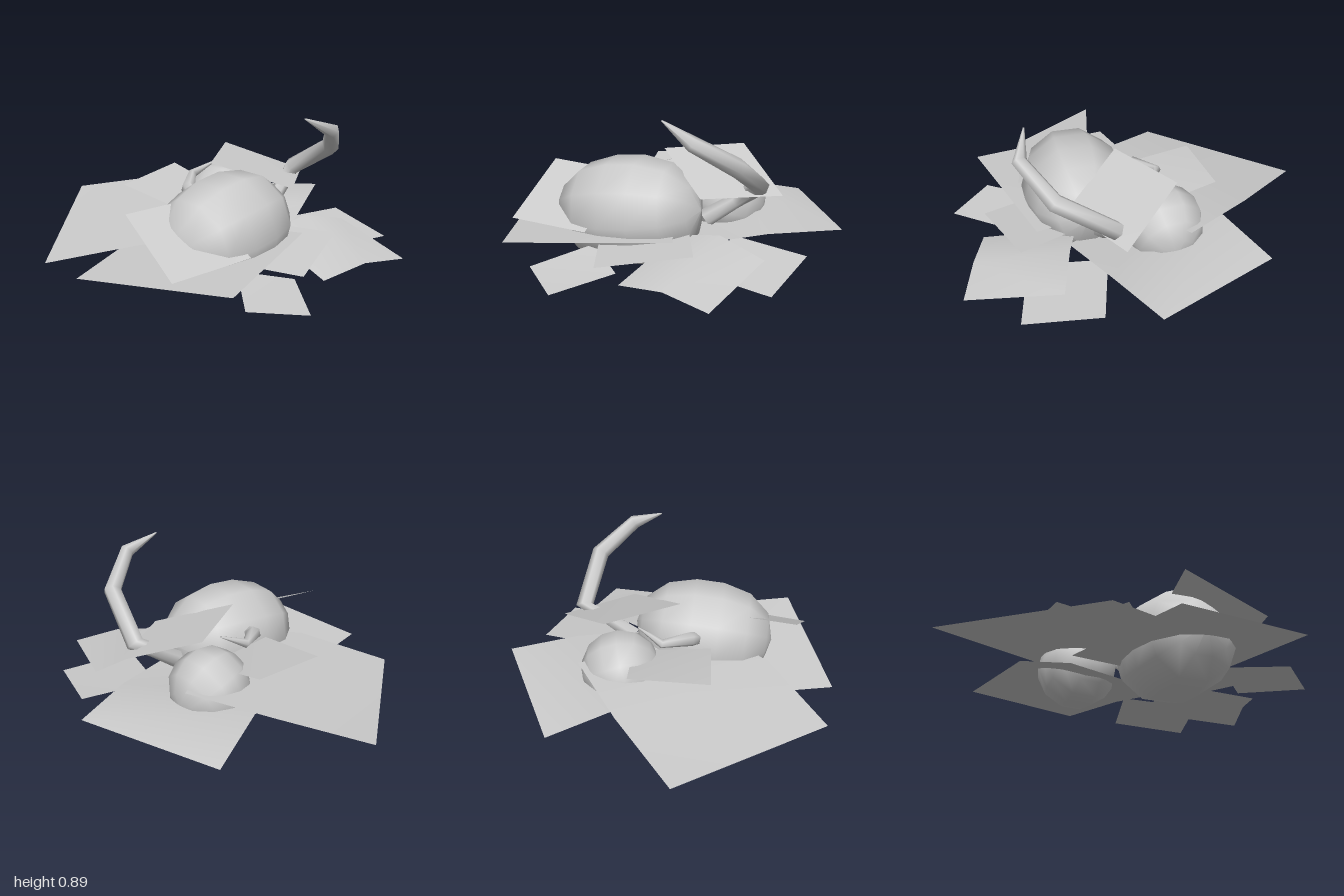
import * as THREE from 'three';

const grey = () => new THREE.MeshStandardMaterial({ color: 0xcccccc, side: THREE.DoubleSide });

// Low-poly smooth gourd body: a slightly boxy oval turned around local x
function gourd(name, center, radii, turn, tilt, fullness) {
  const profile = [-1, -0.9, -0.6, -0.2, 0.2, 0.6, 0.9, 1].map(t =>
    new THREE.Vector2(Math.pow(1 - Math.pow(Math.abs(t), fullness), 1 / fullness), t));
  const geo = new THREE.LatheGeometry(profile, 10);
  geo.rotateZ(-Math.PI / 2);
  geo.scale(...radii);
  const mesh = new THREE.Mesh(geo, grey());
  mesh.name = name;
  mesh.position.set(...center);
  mesh.rotation.set(0, turn, tilt);
  return mesh;
}

// Leaf card: a strip through successive pairs of points (two pairs = flat, three = creased)
function leaf(name, pairs) {
  const geo = new THREE.BufferGeometry();
  const index = [];
  for (let i = 0; i < pairs.length - 1; i++) {
    const a = i * 2;
    index.push(a, a + 1, a + 2, a + 1, a + 3, a + 2);
  }
  geo.setAttribute('position', new THREE.Float32BufferAttribute(pairs.flat(2), 3));
  geo.setIndex(index);
  geo.computeVertexNormals();
  // Make the lit side face upward
  if (geo.attributes.normal.getY(0) < 0) {
    geo.setIndex(index.reverse());
    geo.computeVertexNormals();
  }
  const mesh = new THREE.Mesh(geo, grey());
  mesh.name = name;
  return mesh;
}

// Tapered vine: hexagonal rings at each path point
function vine(name, path, radii) {
  const pts = path.map(p => new THREE.Vector3(...p));
  const sides = 6, pos = [], index = [];
  const normal = new THREE.Vector3(0, 1, 0);
  pts.forEach((p, i) => {
    const before = pts[Math.max(i - 1, 0)], after = pts[Math.min(i + 1, pts.length - 1)];
    const t = after.clone().sub(before).normalize();
    normal.addScaledVector(t, -normal.dot(t)).normalize();
    const side = t.clone().cross(normal);
    for (let s = 0; s < sides; s++) {
      const a = (s / sides) * Math.PI * 2;
      const v = p.clone()
        .addScaledVector(normal, Math.cos(a) * radii[i])
        .addScaledVector(side, Math.sin(a) * radii[i]);
      pos.push(v.x, v.y, v.z);
      if (i > 0) {
        const n = (s + 1) % sides, k = (i - 1) * sides, m = i * sides;
        index.push(k + s, k + n, m + s, k + n, m + n, m + s);
      }
    }
  });
  const geo = new THREE.BufferGeometry();
  geo.setAttribute('position', new THREE.Float32BufferAttribute(pos, 3));
  geo.setIndex(index);
  geo.computeVertexNormals();
  const mesh = new THREE.Mesh(geo, grey());
  mesh.name = name;
  return mesh;
}

export function createModel() {
  const model = new THREE.Group();
  model.name = 'gourdPatch';

  // Gourds
  model.add(gourd('largeGourd', [-0.12, 0.3, 0.28], [0.4, 0.298, 0.303], 0.18, 0.1, 2.3));
  model.add(gourd('smallGourd', [0.23, 0.272, -0.2], [0.22, 0.222, 0.225], 0.3, -0.3, 2.1));

  // Ground leaves
  model.add(leaf('backLeaf', [
    [[-0.29, 0.23, -1], [-0.93, 0.14, -0.21]],
    [[0.1, 0.31, -0.67], [-0.54, 0.26, 0.12]],
    [[0.43, 0.36, -0.33], [-0.19, 0.27, 0.33]],
  ]));
  model.add(leaf('backLeftLeaf', [
    [[0.45, 0.18, -0.77], [0.93, 0.235, -0.14]],
    [[0.13, 0.26, -0.53], [0.61, 0.235, 0.1]],
    [[-0.18, 0.14, -0.29], [0.28, 0.19, 0.32]],
  ]));
  model.add(leaf('rightLeaf', [
    [[-0.91, 0.165, 0.11], [-0.52, 0.25, 0.88]],
    [[-0.14, 0.2, -0.28], [0.25, 0.26, 0.49]],
  ]));
  model.add(leaf('frontLeaf', [
    [[-0.15, 0.1, 1], [0.03, 0.12, 0.68]],
    [[-0.4, 0.12, 0.82], [-0.21, 0.165, 0.51]],
  ]));
  model.add(leaf('frontInnerLeaf', [
    [[-0.02, 0.19, 0.8], [0.41, 0.25, 0.57]],
    [[-0.2, 0.19, 0.47], [0.22, 0.25, 0.26]],
  ]));
  model.add(leaf('frontLeftLeaf', [
    [[0.64, 0.14, 0.86], [0.69, 0.2, 0.34]],
    [[0.38, 0.17, 0.83], [0.43, 0.27, 0.31]],
    [[0.12, 0.13, 0.8], [0.17, 0.21, 0.28]],
  ]));
  model.add(leaf('sideLeftLeaf', [
    [[0.84, 0.175, 0.14], [0.82, 0.13, 0.56]],
    [[0.42, 0.19, 0.11], [0.4, 0.155, 0.54]],
  ]));

  // Raised leaves
  model.add(leaf('topLeaf', [
    [[-0.04, 0.595, 0.05], [0.296, 0.59, -0.26]],
    [[0.32, 0.45, 0.32], [0.65, 0.43, 0.02]],
  ]));
  model.add(leaf('upperBackLeaf', [
    [[-0.33, 0.41, -0.39], [0.09, 0.44, -0.5]],
    [[-0.23, 0.36, 0.01], [0.19, 0.34, -0.1]],
  ]));
  model.add(leaf('upperRightLeaf', [
    [[-0.67, 0.48, 0.2], [-0.67, 0.26, 0.61]],
    [[-0.22, 0.48, 0.2], [-0.2, 0.27, 0.61]],
  ]));

  // Vines
  model.add(vine('longVine', [
    [0.27, 0.28, 0.14], [0.42, 0.39, 0.11], [0.54, 0.48, 0.07],
    [0.545, 0.67, 0.37], [0.385, 0.815, 0.54], [0.21, 0.9, 0.52],
  ], [0.05, 0.04, 0.05, 0.05, 0.04, 0.004]));
  model.add(vine('shortVine', [
    [-0.13, 0.4, 0.02], [-0.12, 0.44, -0.05], [0.0, 0.47, -0.18], [0.14, 0.53, -0.15],
  ], [0.04, 0.04, 0.025, 0.004]));

  return model;
}
